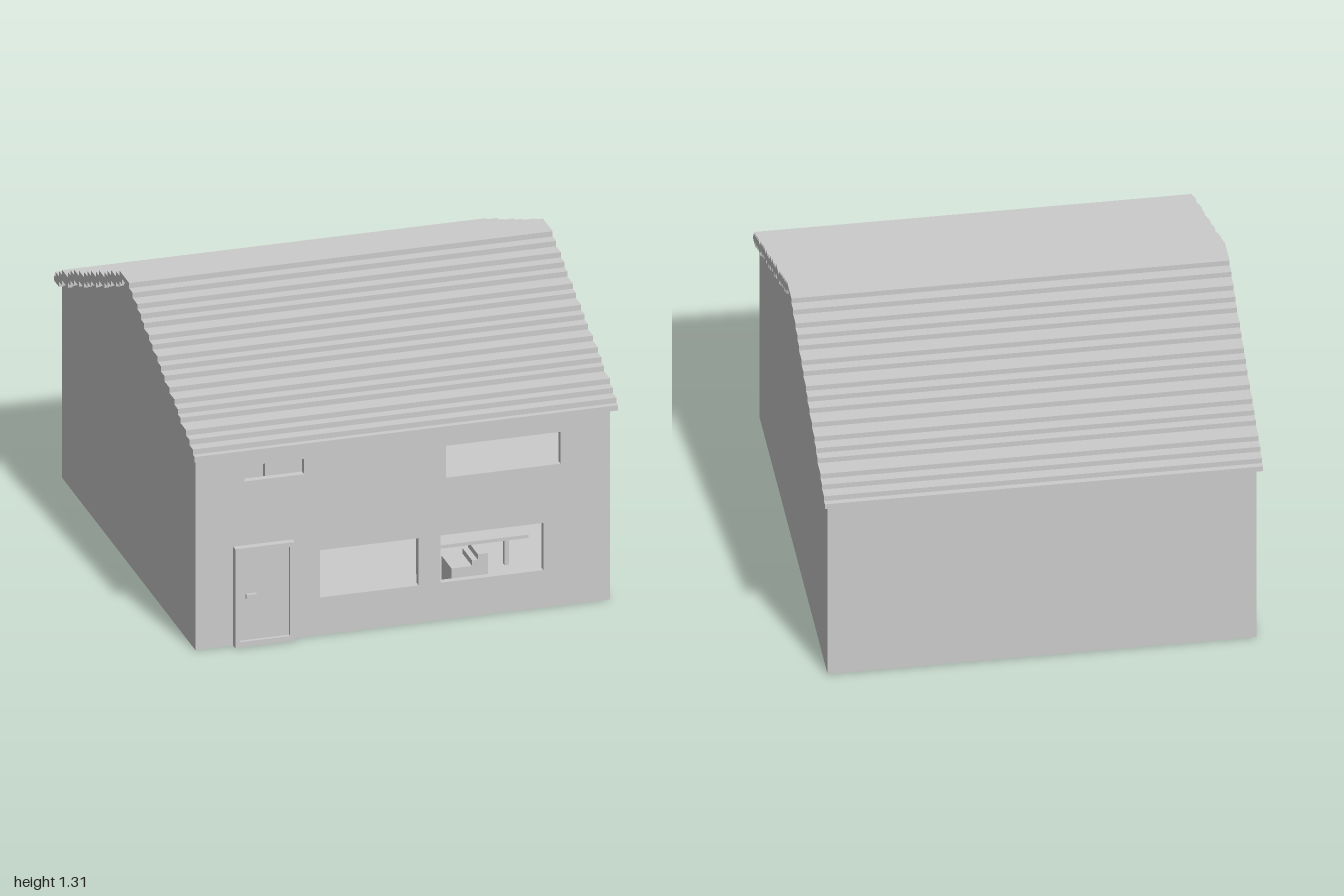
import * as THREE from 'three';

const material = new THREE.MeshStandardMaterial({ color: 0xcccccc, flatShading: true });

export function createModel() {
  const house = new THREE.Group();
  house.name = 'house';

  const add = (name, geometry) => {
    const mesh = new THREE.Mesh(geometry, material);
    mesh.name = name;
    house.add(mesh);
    return mesh;
  };

  // Box given by its limits on each axis
  const box = (name, x0, x1, y0, y1, z0, z1) => {
    const g = new THREE.BoxGeometry(x1 - x0, y1 - y0, z1 - z0);
    g.translate((x0 + x1) / 2, (y0 + y1) / 2, (z0 + z1) / 2);
    return add(name, g);
  };

  const rect = (x0, x1, y0, y1, Type = THREE.Shape) => new Type([
    [x0, y0], [x1, y0], [x1, y1], [x0, y1],
  ].map(([x, y]) => new THREE.Vector2(x, y)));

  // Extrude a (z, y) outline along x, from x0 to x1
  const extrudeX = (name, points, x0, x1) => {
    const shape = new THREE.Shape(points.map(([z, y]) => new THREE.Vector2(z, y)));
    const g = new THREE.ExtrudeGeometry(shape, { depth: x1 - x0, bevelEnabled: false });
    g.rotateY(-Math.PI / 2);
    g.translate(x1, 0, 0);
    return add(name, g);
  };

  const W = 0.905, D = 0.945, T = 0.03, EAVE = 0.885;

  // Front wall with four window openings
  const front = rect(-W, W, 0, EAVE);
  const windows = [
    [-0.69, -0.43, 0.74, 0.81],
    [0.19, 0.69, 0.645, 0.79],
    [-0.36, 0.07, 0.17, 0.385],
    [0.165, 0.615, 0.17, 0.385],
  ];
  for (const w of windows) front.holes.push(rect(...w, THREE.Path));
  const frontGeometry = new THREE.ExtrudeGeometry(front, { depth: T, bevelEnabled: false });
  frontGeometry.translate(0, 0, D - T);
  add('frontWall', frontGeometry);

  // Back wall, gable walls and floors
  box('backWall', -W, W, 0, EAVE, -D, -D + T);
  const gable = [[-D, 0], [D, 0], [D, 0.895], [0, 1.3], [-D, 0.895]];
  extrudeX('rightGable', gable, -W, -W + T);
  extrudeX('leftGable', gable, W - T, W);
  box('groundFloor', -W + T, W - T, 0, 0.03, -D + T, D - T);
  box('upperFloor', -W + T, W - T, 0.47, 0.5, -D + T, D - T);

  // Stepped roof: each course overlaps the next one up
  const courses = [1, 0.975, 0.925, 0.88, 0.8, 0.76, 0.71, 0.64, 0.57, 0.52,
    0.475, 0.4, 0.355, 0.28, 0.235, 0.185, 0.12, 0.07];
  const base = 0.88, rise = 0.43 / courses.length;
  const outer = [], inner = [];
  courses.forEach((z, i) => {
    const y = base + i * rise;
    outer.push([z, y], [z, y + rise]);
    const next = courses[i + 2];
    if (next !== undefined) inner.push([next, y], [next, y + rise]);
  });
  // Underside meets flat beneath the ridge
  inner.push([0.035, base + 16 * rise], [0.035, base + 17 * rise]);
  const mirror = (points) => points.map(([z, y]) => [-z, y]);
  const roofOutline = [
    ...outer, ...mirror(outer).reverse(),
    ...mirror(inner), ...[...inner].reverse(),
  ];
  extrudeX('roof', roofOutline, -0.925, 0.925);

  // Door with raised frame and handle
  const frame = rect(-0.74, -0.48, 0, 0.45);
  frame.holes.push(rect(-0.72, -0.5, 0.025, 0.43, THREE.Path));
  const frameGeometry = new THREE.ExtrudeGeometry(frame, { depth: 0.03, bevelEnabled: false });
  frameGeometry.translate(0, 0, D);
  add('doorFrame', frameGeometry);
  box('doorPanel', -0.72, -0.5, 0.025, 0.43, D - 0.01, 0.96);
  box('doorHandle', -0.69, -0.645, 0.215, 0.235, 0.955, 0.975);

  // Ground floor interior: partition, cupboard and stairs at the back
  box('partition', -0.195, -0.17, 0.03, 0.47, -D + T, -0.3);
  box('cupboard', -0.5, -0.22, 0.03, 0.29, -0.9, -0.5);
  for (let i = 0; i < 6; i++) {
    const x = -0.21 + i * 0.07;
    box('stair' + (i + 1), Math.max(x, -0.17), x + 0.07, 0.03, 0.215 + (i - 0.0) * 0.072 > 0.47
      ? 0.47 : 0.215 + i * 0.072, -0.9, -0.6);
  }

  // Table, bench and stool behind the left window
  box('tableTop', 0.18, 0.6, 0.25, 0.265, 0.5, 0.78);
  for (const x of [0.19, 0.57]) box('tableLeg', x, x + 0.02, 0.03, 0.25, 0.52, 0.54);
  box('benchSeat', 0.24, 0.4, 0.03, 0.19, 0.72, 0.86);
  box('benchArm', 0.33, 0.4, 0.19, 0.215, 0.72, 0.86);
  box('benchBack', 0.355, 0.4, 0.215, 0.24, 0.72, 0.86);
  const cup = new THREE.CylinderGeometry(0.025, 0.025, 0.06, 8);
  cup.translate(0.53, 0.295, 0.65);
  add('cup', cup);

  // Upper floor rooms
  box('bathroomWall', -W + T, -0.3, 0.5, 0.9, 0.72, 0.75);
  box('bathroomDivider', -0.55, -0.53, 0.5, 0.9, 0.75, 0.78);
  box('bedroomWall', 0.43, 0.45, 0.5, 0.9, -D + T, -0.1);
  box('wardrobe', 0.665, W - T, 0.5, 0.85, -0.5, -0.1);

  return house;
}
